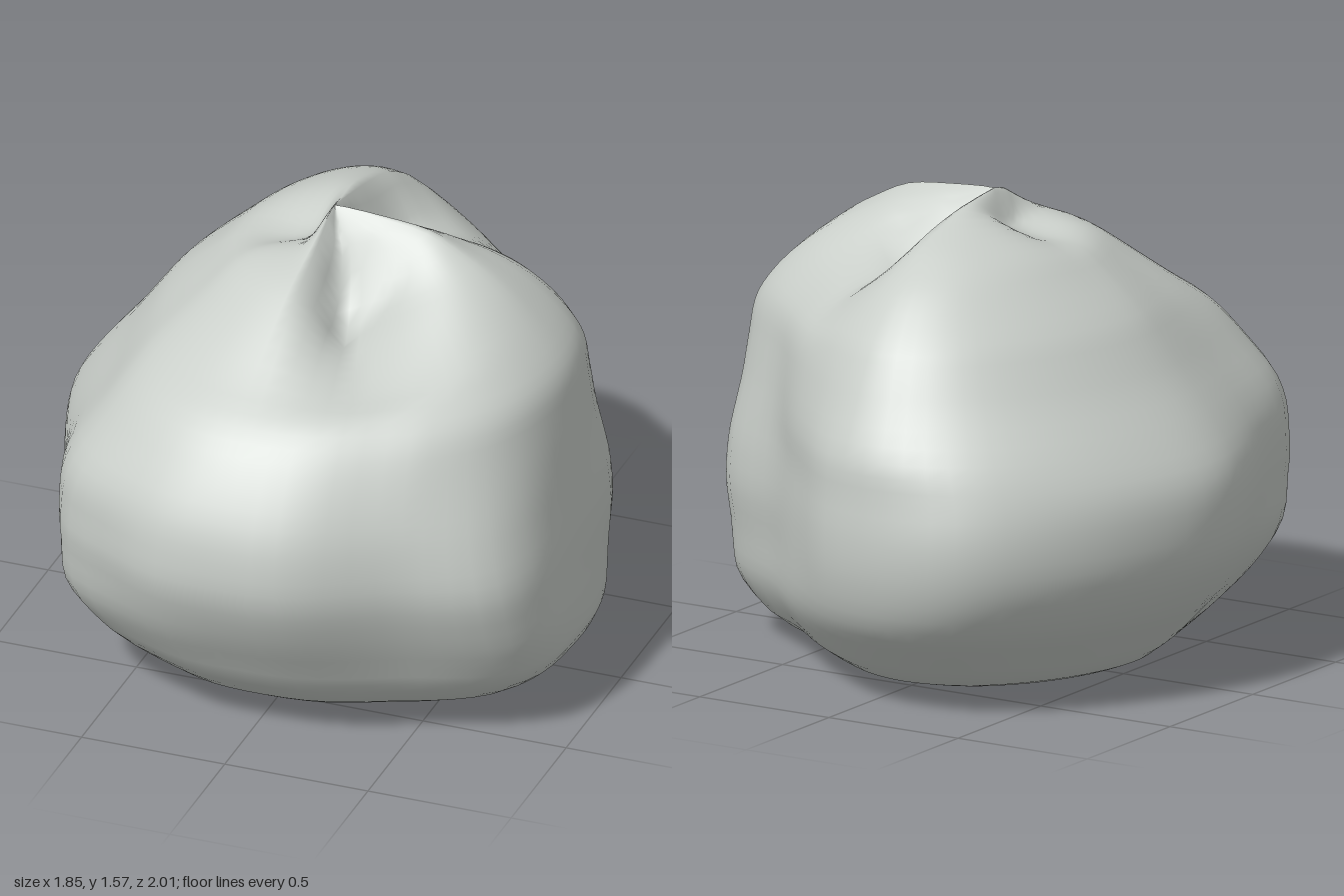
import * as THREE from 'three';

const { lerp, smoothstep } = THREE.MathUtils;

// Plan outline (x, z) at the widest reach, running from +x round through +z
const OUTLINE = [
  [0.92, -0.1], [0.92, 0.2], [0.91, 0.5], [0.84, 0.66], [0.7, 0.75], [0.53, 0.81],
  [0.2, 0.98], [-0.03, 1], [-0.26, 0.98], [-0.46, 0.88], [-0.62, 0.79], [-0.68, 0.72],
  [-0.78, 0.41], [-0.87, 0.17], [-0.92, -0.03], [-0.91, -0.22], [-0.76, -0.6], [-0.5, -0.92],
  [-0.28, -1], [-0.04, -0.985], [0.08, -0.94], [0.3, -0.75], [0.57, -0.49],
  [0.79, -0.36], [0.89, -0.26],
];

// Level sections: height, then reach towards +x, -x, +z, -z
const LEVELS = [
  [0, 0, 0, 0, 0], [0.005, 0.25, 0.28, 0.22, 0.22], [0.02, 0.5, 0.42, 0.42, 0.43],
  [0.06, 0.75, 0.57, 0.62, 0.67], [0.18, 0.9, 0.7, 0.77, 0.82],
  [0.3, 0.92, 0.81, 0.85, 0.93], [0.45, 0.91, 0.9, 0.94, 0.985],
  [0.6, 0.9, 0.925, 1, 1], [0.74, 0.885, 0.91, 1, 0.99], [0.87, 0.875, 0.83, 0.96, 0.975],
  [1.02, 0.86, 0.71, 0.87, 0.9], [1.13, 0.84, 0.63, 0.77, 0.84],
  [1.22, 0.78, 0.56, 0.63, 0.78], [1.34, 0.66, 0.43, 0.46, 0.66],
  [1.42, 0.56, 0.34, 0.33, 0.54], [1.48, 0.46, 0.23, 0.2, 0.42],
  [1.54, 0.33, 0.1, 0.09, 0.22], [1.56, 0.17, 0.05, 0.05, 0.1], [1.57, 0, 0, 0, 0],
];

// Corners that are blunter or softer above and below the widest level: angle, change
const CORNERS = [[2.33, 0.06], [-0.5, -0.04]];

const SEGMENTS = 72;
const STEPS = 3;

// Smooth curve through the level sections
function levelAt(i, t) {
  const at = (k) => LEVELS[THREE.MathUtils.clamp(k, 0, LEVELS.length - 1)];
  const [p, q, r, s] = [at(i - 1), at(i), at(i + 1), at(i + 2)];
  return q.map((v, k) => v + 0.5 * t * (r[k] - p[k]
    + t * (2 * p[k] - 5 * v + 4 * r[k] - s[k] + t * (3 * (v - r[k]) + s[k] - p[k]))));
}

// The plan is lumpy at mid height and rounder towards the base and the crown
function rounding(point, y) {
  const r = Math.hypot(point.x / 0.92, point.z);
  const amount = r > 1
    ? 0.8 * smoothstep(Math.abs(y - 0.48), 0.05, 0.6)
    : 0.25 * smoothstep(Math.abs(y - 0.6), 0.05, 0.6);
  const away = Math.abs(y - 0.62);
  const band = smoothstep(away, 0.05, 0.3) * (1 - smoothstep(away, 0.4, 0.8));
  const angle = Math.atan2(point.z, point.x);
  const bulge = CORNERS.reduce(
    (sum, [a, change]) => sum + change * Math.exp(-(((angle - a) / 0.45) ** 2)), 0);
  return lerp(1, 1 / r, amount) * (1 + band * bulge);
}

// Two folds, steep on the lobe side and sloping to the ridge, and a valley between the lobes
function foldDepth(x, z) {
  const r = Math.hypot(x, z);
  const offset = Math.abs(Math.atan2(z, x)) - 1.1;
  const side = Math.max(0, 1 - Math.abs(offset) / (offset < 0 ? 1.1 : 0.42));
  const along = r < 0.14 ? 0.7 * r / 0.14
    : r < 0.3 ? lerp(0.7, 1, (r - 0.14) / 0.16) : Math.max(0, (0.72 - r) / 0.42);
  const valley = 0.1 * smoothstep(-x, -0.01, 0.07)
    * Math.exp(-((z / 0.13) ** 2) - ((x + 0.08) / 0.2) ** 2);
  return (z > 0 ? 0.23 : 0.2) * side * along + valley;
}

function bodyGeometry() {
  const curve = new THREE.CatmullRomCurve3(
    OUTLINE.map(([x, z]) => new THREE.Vector3(x, 0, z)), true, 'centripetal');
  const plan = curve.getSpacedPoints(SEGMENTS).slice(0, SEGMENTS);

  const rows = [];
  for (let i = 0; i < LEVELS.length - 1; i++) {
    for (let s = 0; s < STEPS; s++) rows.push(levelAt(i, s / STEPS));
  }
  rows.push(LEVELS[LEVELS.length - 1]);

  const positions = [];
  const index = [];
  rows.forEach(([y, right, left, front, back], j) => {
    plan.forEach((p, i) => {
      const round = rounding(p, y);
      const x = round * p.x * (p.x > 0 ? right : left) / 0.92;
      const z = round * p.z * (p.z > 0 ? front : back);
      const drop = y > 0.95 ? foldDepth(x, z) : 0;
      positions.push(x, y - drop, z);
      if (j === rows.length - 1) return;
      const a = j * SEGMENTS + i;
      const b = j * SEGMENTS + (i + 1) % SEGMENTS;
      if (j > 0) index.push(a, a + SEGMENTS, b);
      index.push(b, a + SEGMENTS, b + SEGMENTS);
    });
  });

  const geometry = new THREE.BufferGeometry();
  geometry.setAttribute('position', new THREE.Float32BufferAttribute(positions, 3));
  geometry.setIndex(index);
  geometry.computeVertexNormals();
  return geometry;
}

export function createModel() {
  const group = new THREE.Group();
  group.name = 'foldedLump';
  const paleGrey = new THREE.MeshStandardMaterial({ color: 0xc8cdc8 });
  paleGrey.name = 'paleGrey';
  const body = new THREE.Mesh(bodyGeometry(), paleGrey);
  body.name = 'body';
  group.add(body);
  return group;
}
